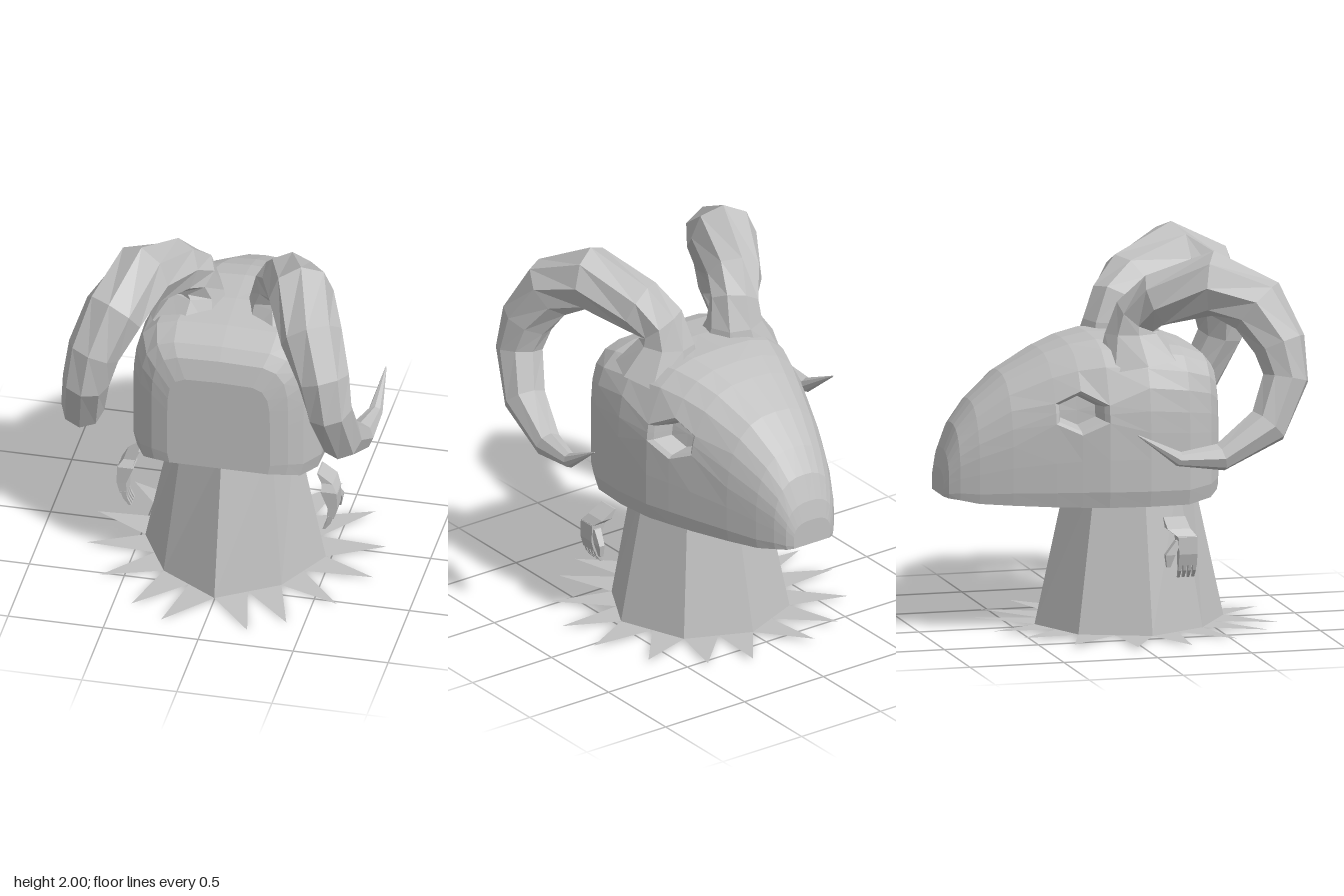
import * as THREE from 'three';

const bone = new THREE.MeshStandardMaterial({ color: 0xc0c0c0, side: THREE.DoubleSide, flatShading: true });
bone.name = 'bone grey';

const V = (x, y, z) => new THREE.Vector3(x, y, z);

function mesh(name, geometry) {
  const m = new THREE.Mesh(geometry, bone);
  m.name = name;
  return m;
}

function fromTriangles(points) {
  const g = new THREE.BufferGeometry().setFromPoints(points);
  g.computeVertexNormals();
  return g;
}

// Skin a list of rings, each counter-clockwise about the direction of travel.
function loft(rings, { closed = true, start = true, end = true, skip = () => false } = {}) {
  const tris = [], n = rings[0].length;
  for (let i = 0; i < rings.length - 1; i++) {
    for (let j = 0; j < (closed ? n : n - 1); j++) {
      if (skip(i, j)) continue;
      const k = (j + 1) % n;
      const [a, b, c, d] = [rings[i][j], rings[i][k], rings[i + 1][k], rings[i + 1][j]];
      tris.push(a, b, c, a, c, d);
    }
  }
  const cap = (ring, flip) => {
    const mid = ring.reduce((s, p) => s.add(p), V(0, 0, 0)).divideScalar(n);
    ring.forEach((p, j) => {
      const q = ring[(j + 1) % n];
      tris.push(mid, flip ? q : p, flip ? p : q);
    });
  };
  if (start) cap(rings[0], true);
  if (end) cap(rings[rings.length - 1], false);
  return fromTriangles(tris);
}

function addPair(group, name, build) {
  for (const side of [1, -1]) {
    const part = build();
    part.name = (side > 0 ? 'left' : 'right') + name;
    part.scale.x = side;
    group.add(part);
  }
}

// Skull sections along z: z, half width, top, bottom, squareness of the arch
const SECTIONS = [
  [0.52, 0.27, 1.27, 0.745, 6], [0.49, 0.36, 1.38, 0.735, 5.5], [0.44, 0.43, 1.44, 0.71, 5],
  [0.31, 0.495, 1.49, 0.69, 4.4], [0.1, 0.505, 1.52, 0.69, 3.8], [-0.11, 0.48, 1.53, 0.69, 3.2],
  [-0.245, 0.435, 1.505, 0.69, 3], [-0.37, 0.39, 1.46, 0.69, 2.8], [-0.58, 0.31, 1.35, 0.695, 2.6],
  [-0.74, 0.24, 1.21, 0.7, 2.5], [-0.83, 0.19, 1.09, 0.715, 2.5], [-0.88, 0.15, 0.96, 0.72, 2.6],
  [-0.9, 0.115, 0.86, 0.725, 2.8],
];
const ROWS = [0, 0.1, 0.3, 0.47, 0.605, 0.745, 0.86, 0.95, 0.99, 1];
// Heights of the eye opening where it crosses sections 5 to 7 and rows 3 to 5
const EYE = { 5: [1.135, 1.18, 1.225], 6: [1.07, 1.18, 1.295], 7: [1.125, 1.18, 1.23] };

function skullPoint(i, j) {
  const [z, w, top, bottom, n] = SECTIONS[i];
  let f = ROWS[j];
  if (EYE[i] && j >= 3 && j <= 5) f = (EYE[i][j - 3] - bottom) / (top - bottom);
  const x = f <= 0.3
    ? w * (0.96 + 0.04 * Math.min(1, f / 0.1))
    : w * Math.pow(Math.max(0, 1 - Math.pow((f - 0.3) / 0.7, n)), 1 / n);
  return V(x, bottom + f * (top - bottom), z);
}

function skull() {
  const last = ROWS.length - 1;
  const rings = SECTIONS.map((_, i) => {
    const half = ROWS.map((_, j) => skullPoint(i, j));
    const left = half.map((p) => V(-p.x, p.y, p.z));
    return [...left, ...half.slice(0, last).reverse()];
  });
  const eyeColumns = [3, 4, 2 * last - 5, 2 * last - 4];
  return loft(rings, { closed: false, skip: (i, j) => (i === 5 || i === 6) && eyeColumns.includes(j) });
}

// Recessed socket that closes each eye opening
function eyeSocket() {
  const rim = [[6, 3], [7, 3], [7, 4], [7, 5], [6, 5], [5, 5], [5, 4], [5, 3]].map(([i, j]) => skullPoint(i, j));
  const mid = V(0.425, 1.18, -0.245);
  const inset = (scale, depth) => rim.map((p) => p.clone().lerp(mid, 1 - scale).add(V(-depth, 0, 0)));
  return loft([rim, inset(0.84, 0.02), inset(0.66, 0.11)], { start: false });
}

// Curled horn with a flared root: x, y, z and radius at each ring
const HORN = [
  [0.245, 1.38, 0.1, 0.23], [0.215, 1.555, 0.075, 0.145], [0.23, 1.65, 0.1, 0.13], [0.3, 1.735, 0.19, 0.145],
  [0.42, 1.83, 0.45, 0.17], [0.52, 1.72, 0.66, 0.162], [0.605, 1.53, 0.755, 0.138],
  [0.64, 1.36, 0.778, 0.122], [0.68, 1.125, 0.672, 0.112], [0.72, 0.978, 0.41, 0.073],
  [0.75, 0.985, 0.18, 0.038], [0.757, 1.12, -0.04, 0.003],
];

function horn() {
  const at = (i) => V(...HORN[Math.min(Math.max(i, 0), HORN.length - 1)]);
  const rings = HORN.map(([, , , r], i) => {
    const t = at(i + 1).sub(at(i - 1)).normalize();
    const n = t.clone().cross(V(1, 0, 0)).normalize();
    const b = t.clone().cross(n);
    return Array.from({ length: 8 }, (_, k) => {
      const a = (k * Math.PI) / 4;
      return at(i).addScaledVector(n, r * Math.cos(a)).addScaledVector(b, r * Math.sin(a));
    });
  });
  return loft(rings);
}

// Stack of rectangles from top to bottom: y, x, half x, z, half z
const block = (rows) => loft(rows.map(([y, x, hx, z, hz]) => [
  V(x + hx, y, z - hz), V(x + hx, y, z + hz), V(x - hx, y, z + hz), V(x - hx, y, z - hz),
]));

function hand() {
  const g = new THREE.Group();
  g.add(mesh('wrist', block([[0.63, 0.47, 0.004, 0.23, 0.058], [0.58, 0.52, 0.03, 0.235, 0.06], [0.54, 0.54, 0.04, 0.275, 0.05]])));
  g.add(mesh('palm', block([[0.545, 0.535, 0.043, 0.275, 0.05], [0.45, 0.555, 0.025, 0.277, 0.048], [0.39, 0.545, 0.018, 0.278, 0.048]])));
  g.add(mesh('thumb', block([[0.52, 0.55, 0.02, 0.23, 0.015], [0.45, 0.565, 0.016, 0.182, 0.026], [0.385, 0.56, 0.01, 0.175, 0.01]])));
  for (let i = 0; i < 4; i++) {
    const z = 0.241 + i * 0.0255;
    g.add(mesh('finger', block([[0.4, 0.545, 0.014, z, 0.009], [0.36, 0.535, 0.012, z, 0.008], [0.32, 0.51, 0.007, z, 0.006]])));
  }
  return g;
}

// Eight-sided outline from half of its corners, front to back: x, z from the robe's middle
const MIDDLE = 0.115;
function octagon(half, y) {
  const right = half.map(([x, z]) => V(x, y, z + MIDDLE));
  const left = right.slice(1, -1).reverse().map((p) => V(-p.x, y, p.z));
  return [...right, ...left];
}
const HEM = octagon([[0, 0.505], [0.31, 0.31], [0.475, 0], [0.335, -0.357], [0, -0.5]], 0.012);
const COLLAR = octagon([[0, 0.335], [0.235, 0.2], [0.315, 0], [0.225, -0.24], [0, -0.33]], 0.78);

// Two flat spikes on each edge of the hem, fanning outward more towards the sides
function spikes() {
  const tris = [];
  HEM.forEach((a, i) => {
    const b = HEM[(i + 1) % HEM.length];
    const normal = V(a.z - b.z, 0, b.x - a.x).normalize();
    for (const s of [0, 0.5]) {
      const p = a.clone().lerp(b, s), q = a.clone().lerp(b, s + 0.5);
      const root = p.clone().lerp(q, 0.5);
      const radial = V(root.x, 0, root.z - MIDDLE).normalize();
      const out = normal.clone().lerp(radial, Math.min(1, Math.abs(root.x) / 0.36)).normalize();
      const tip = root.clone().addScaledVector(out, 0.325);
      tip.y = 0.012 - 0.012 * out.z;
      tris.push(p, tip, q);
    }
  });
  return fromTriangles(tris);
}

export function createModel() {
  const model = new THREE.Group();
  model.name = 'hornedSkullFigure';

  // Open eight-sided robe
  model.add(mesh('robe', loft([HEM, COLLAR], { start: false, end: false })));
  model.add(mesh('hemSpikes', spikes()), mesh('skull', skull()));

  addPair(model, 'EyeSocket', () => mesh('', eyeSocket()));
  addPair(model, 'Horn', () => mesh('', horn()));
  addPair(model, 'Hand', hand);
  return model;
}
